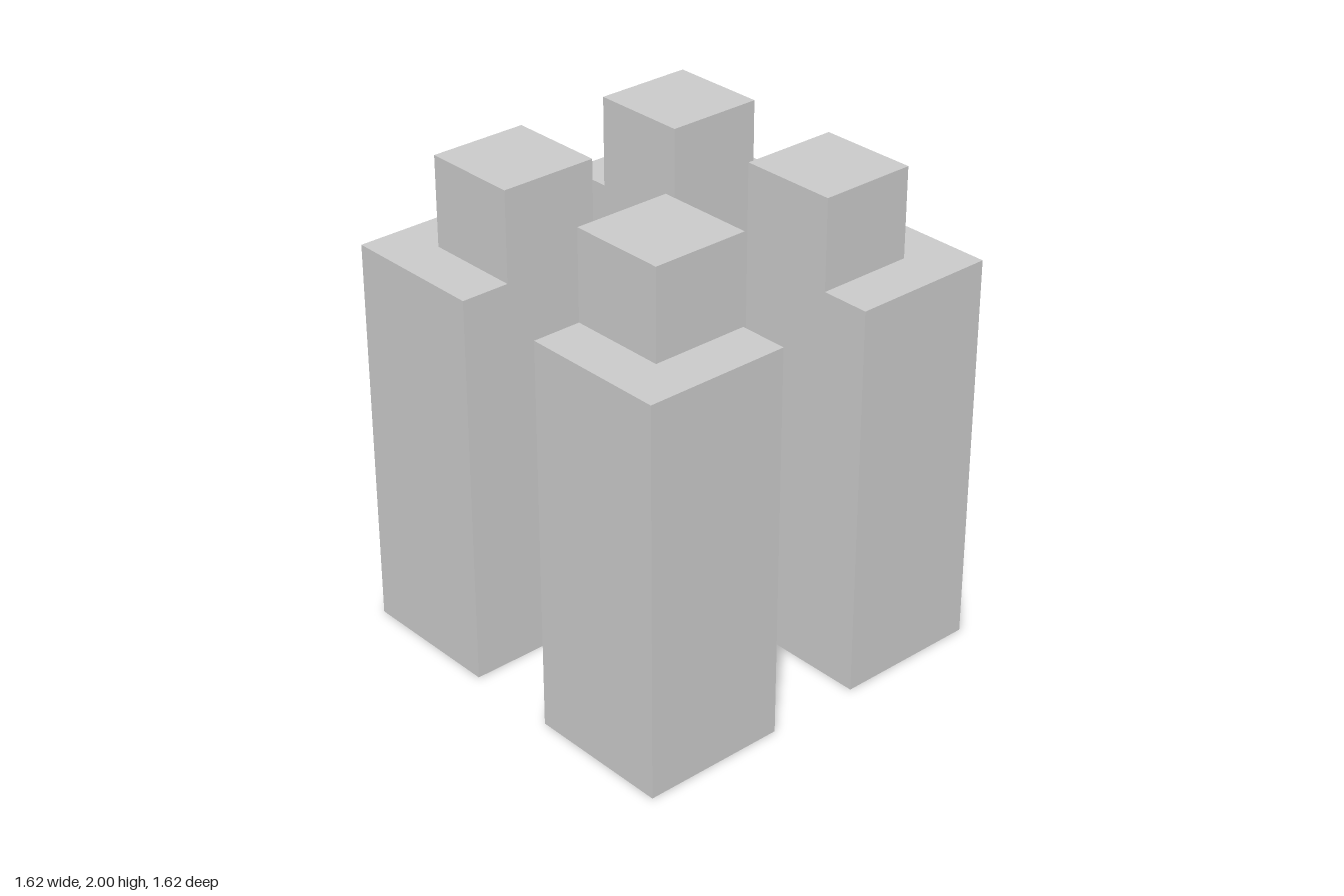
import * as THREE from 'three';

const INNER = 0.2;      // half the gap between towers
const BODY = 0.61;      // tower width and depth
const CAP = 0.407;      // cap width and depth
const LEDGE = 1.63;     // height where the cap starts
const TOP = 2;

export function createModel() {
  const model = new THREE.Group();
  model.name = 'fourTowers';
  const material = new THREE.MeshStandardMaterial({ color: 0xcccccc, flatShading: true });

  // Square block whose inner corner sits on the gap, in quadrant (sx, sz)
  const block = (name, size, bottom, top, sx, sz) => {
    const mesh = new THREE.Mesh(new THREE.BoxGeometry(size, top - bottom, size), material);
    mesh.name = name;
    mesh.position.set(sx * (INNER + size / 2), (bottom + top) / 2, sz * (INNER + size / 2));
    return mesh;
  };

  // One stepped tower per quadrant, cap flush with the inner faces
  for (const sz of [1, -1]) {
    for (const sx of [1, -1]) {
      const tower = new THREE.Group();
      tower.name = (sz > 0 ? 'front' : 'back') + (sx > 0 ? 'Left' : 'Right') + 'Tower';
      tower.add(
        block('towerBody', BODY, 0, LEDGE, sx, sz),
        block('towerCap', CAP, LEDGE, TOP, sx, sz)
      );
      model.add(tower);
    }
  }
  return model;
}
